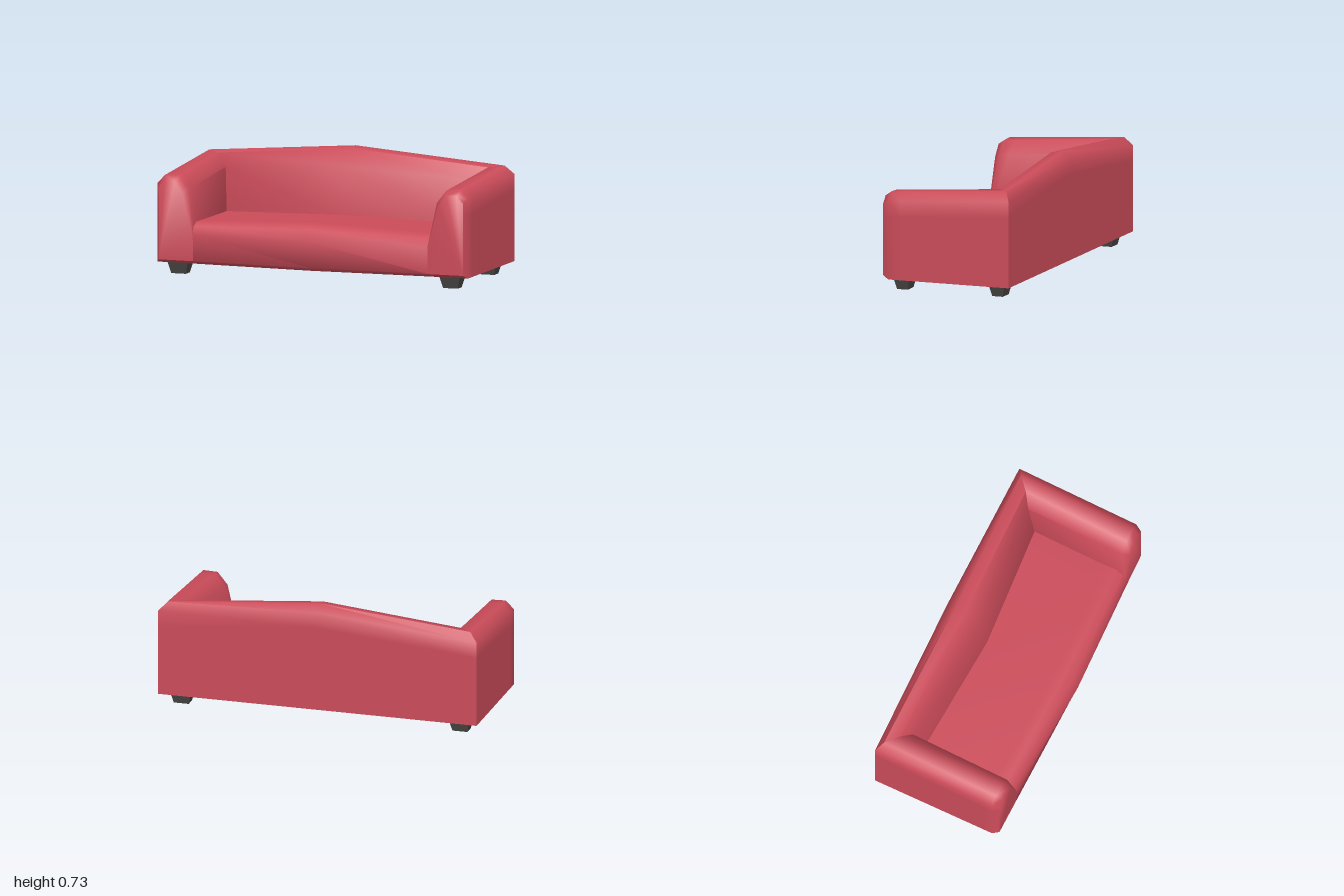
import * as THREE from 'three';
import { toCreasedNormals } from 'three/addons/utils/BufferGeometryUtils.js';

const fabric = new THREE.MeshStandardMaterial({ color: 0xcc4c5a });
fabric.name = 'red fabric';
const wood = new THREE.MeshStandardMaterial({ color: 0x4a4846 });
wood.name = 'dark wood';

// Skin closed cross-section loops into a capped solid with softened edges.
function loft(sections) {
  const n = sections[0].length;
  const pts = sections.flat();
  let tris = [];
  for (let s = 0; s < sections.length - 1; s++) {
    for (let i = 0; i < n; i++) {
      const j = (i + 1) % n;
      const a = s * n + i, b = s * n + j, c = a + n, d = b + n;
      tris.push([a, b, d], [a, d, c]);
    }
  }
  const last = (sections.length - 1) * n;
  for (let i = 1; i < n - 1; i++) {
    tris.push([0, i + 1, i], [last, last + i, last + i + 1]);
  }
  // Turn the faces outward when the enclosed volume comes out negative.
  const v = pts.map((p) => new THREE.Vector3(...p));
  const volume = tris.reduce((sum, [a, b, c]) => sum + v[a].dot(v[b].clone().cross(v[c])), 0);
  if (volume < 0) tris = tris.map(([a, b, c]) => [a, c, b]);
  const geometry = new THREE.BufferGeometry();
  geometry.setAttribute('position', new THREE.Float32BufferAttribute(pts.flat(), 3));
  geometry.setIndex(tris.flat());
  return toCreasedNormals(geometry, Math.PI / 3);
}

const mirror = (section) => section.map(([x, y, z]) => [-x, y, z]);
const blend = (a, b, t) => a.map((p, i) => p.map((q, k) => q + (b[i][k] - q) * t));

export function createModel() {
  const model = new THREE.Group();
  model.name = 'sofa';
  const add = (name, geometry, material) => {
    const mesh = new THREE.Mesh(geometry, material);
    mesh.name = name;
    model.add(mesh);
    return mesh;
  };

  // Mitred corner shared by the backrest and the arm.
  const corner = [
    [1, 0.07, -0.435], [1, 0.5, -0.435], [1, 0.6, -0.435], [0.95, 0.653, -0.4],
    [0.87, 0.647, -0.33], [0.8, 0.57, -0.28], [0.77, 0.29, -0.22], [0.77, 0.07, -0.22],
  ];

  // Backrest rises to a peak in the middle.
  const backMiddle = [
    [0, 0.07, -0.435], [0, 0.59, -0.435], [0, 0.69, -0.435], [0, 0.73, -0.378],
    [0, 0.72, -0.31], [0, 0.62, -0.23], [0, 0.31, -0.165], [0, 0.07, -0.165],
  ];
  add('backrest', loft([mirror(corner), backMiddle, corner]), fabric);

  // Arms run forward from the corner and round over at the front.
  const armRim = [
    [1, 0.07, 0.345], [1, 0.45, 0.345], [1, 0.55, 0.345], [0.95, 0.6, 0.345],
    [0.86, 0.597, 0.345], [0.8, 0.52, 0.35], [0.75, 0.27, 0.36], [0.755, 0.07, 0.35],
  ];
  const armFace = [
    [0.98, 0.09, 0.385], [0.98, 0.45, 0.385], [0.98, 0.53, 0.385], [0.94, 0.572, 0.385],
    [0.875, 0.57, 0.385], [0.825, 0.5, 0.387], [0.755, 0.25, 0.394], [0.755, 0.09, 0.389],
  ];
  const arm = [corner, blend(corner, armRim, 0.9), armRim, armFace];
  add('leftArm', loft(arm), fabric);
  add('rightArm', loft(arm.map(mirror)), fabric);

  // Seat is crowned and its front bulges toward the middle.
  const seatEnd = [
    [0.79, 0.07, -0.22], [0.79, 0.31, -0.23], [0.78, 0.32, 0.26], [0.77, 0.32, 0.32],
    [0.76, 0.3, 0.37], [0.755, 0.25, 0.394], [0.755, 0.09, 0.389], [0.755, 0.07, 0.35],
    [0.755, 0.07, 0.29],
  ];
  const seatMiddle = [
    [0, 0.07, -0.18], [0, 0.335, -0.18], [0, 0.348, 0.28], [0, 0.346, 0.34],
    [0, 0.32, 0.397], [0, 0.255, 0.435], [0, 0.09, 0.405], [0, 0.07, 0.38],
    [0, 0.07, 0.31],
  ];
  add('seat', loft([mirror(seatEnd), seatMiddle, seatEnd]), fabric);

  // Tapered block feet.
  const foot = new THREE.BoxGeometry(0.13, 0.07, 0.102);
  const pos = foot.attributes.position;
  for (let i = 0; i < pos.count; i++) {
    if (pos.getY(i) < 0) pos.setXYZ(i, pos.getX(i) * 0.72, pos.getY(i), pos.getZ(i) * 0.67);
  }
  foot.computeVertexNormals();
  for (const [side, x] of [['Left', 0.875], ['Right', -0.875]]) {
    for (const [end, z] of [['front', 0.284], ['back', -0.333]]) {
      add(`${end}${side}Foot`, foot, wood).position.set(x, 0.035, z);
    }
  }
  return model;
}
